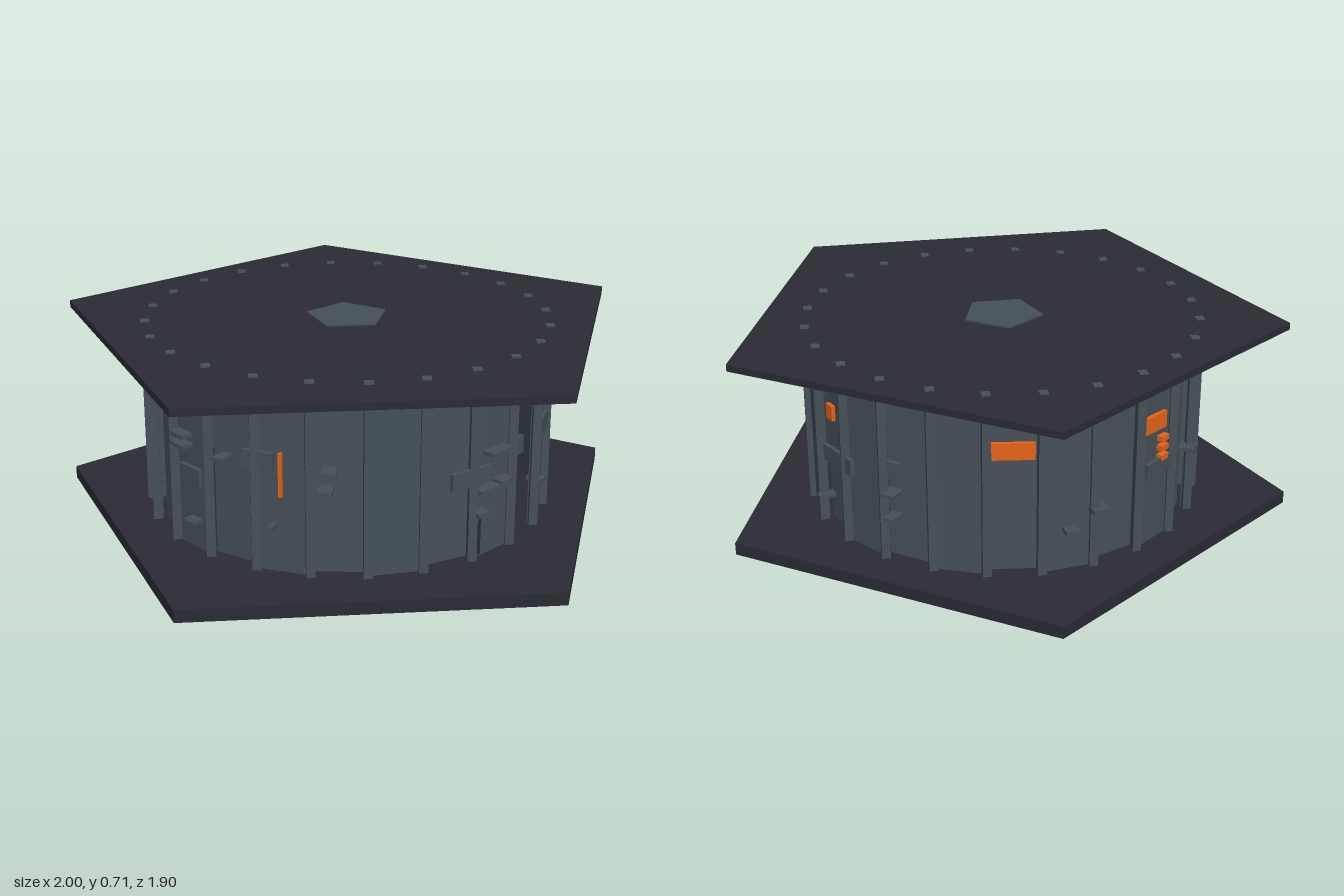
import * as THREE from 'three';

const slab = new THREE.MeshStandardMaterial({ color: 0x2b2b35 });
slab.name = 'dark slab';
const wall = new THREE.MeshStandardMaterial({ color: 0x455158 });
wall.name = 'slate wall';
const accent = new THREE.MeshStandardMaterial({ color: 0xe8641a });
accent.name = 'orange sign';

const CZ = 0.083, R = 0.703, N = 24;
const FLOOR = 0.045, CEIL = 0.68;
const rad = THREE.MathUtils.degToRad;

export function createModel() {
  const model = new THREE.Group();
  model.name = 'pentagonPavilion';

  // Five-sided plate with one corner pointing to the back
  function pentagon(name, mat, radius, y0, y1, z) {
    const geo = new THREE.CylinderGeometry(radius, radius, y1 - y0, 5, 1).toNonIndexed();
    geo.rotateY(Math.PI);
    geo.computeVertexNormals();
    const m = new THREE.Mesh(geo, mat);
    m.name = name;
    m.position.set(0, (y0 + y1) / 2, z);
    model.add(m);
  }

  // Box on the ring: w along the wall, d outward, angle from +x toward +z
  function ringBox(name, mat, deg, radius, y, w, h, d, turn = true) {
    const m = new THREE.Mesh(new THREE.BoxGeometry(w, h, d), mat);
    const a = rad(deg);
    m.name = name;
    m.position.set(Math.cos(a) * radius, y, CZ + Math.sin(a) * radius);
    if (turn) m.rotation.y = Math.PI / 2 - a;
    model.add(m);
  }

  pentagon('base', slab, 1.0515, 0, FLOOR, 0.1);
  pentagon('roof', slab, 1.03, CEIL, 0.705, 0.12);
  pentagon('roofCap', wall, 0.147, 0.7, 0.711, CZ);

  // Posts and the wall panels between them, alternately recessed
  const step = 360 / N, h = CEIL - FLOOR, mid = (CEIL + FLOOR) / 2;
  for (let i = 0; i < N; i++) {
    ringBox('post', wall, i * step, R, (FLOOR + 0.71) / 2, 0.03, 0.71 - FLOOR, 0.03, false);
    if (i === 0) continue; // open doorway on the side
    const half = i === 2;  // partly open bay
    const recess = i % 2 ? 0.685 : 0.655;
    ringBox('wallPanel', wall, (i + (half ? 0.75 : 0.5)) * step, recess, mid,
      half ? 0.09 : 0.185, h, 0.015);
  }

  // Flat boards fixed to the wall: [angle, height, width, tall]
  const boards = [
    [142, 0.31, 0.1, 0.06], [119, 0.43, 0.11, 0.06], [61, 0.34, 0.16, 0.06],
    [24, 0.39, 0.11, 0.06], [42, 0.39, 0.04, 0.06], [-27, 0.34, 0.17, 0.06],
    [-49, 0.39, 0.05, 0.06], [232, 0.33, 0.14, 0.06], [200, 0.4, 0.06, 0.06],
  ];
  for (const [a, y, w, t] of boards) ringBox('wallBoard', wall, a, 0.705, y, w, t, 0.015);

  // Small ledges sticking out: [angle, height, width]
  const ledges = [
    [145, 0.41, 0.07], [145, 0.445, 0.07], [130, 0.41, 0.04], [100, 0.41, 0.05],
    [101, 0.345, 0.05], [141, 0.15, 0.05], [115, 0.21, 0.02], [55, 0.29, 0.12],
    [52, 0.41, 0.1], [50, 0.3, 0.06], [29, 0.21, 0.03], [58, 0.21, 0.05],
    [-18, 0.155, 0.03], [-48, 0.3, 0.05], [-48, 0.21, 0.04], [254, 0.26, 0.06],
    [262, 0.2, 0.05], [212, 0.3, 0.06],
  ];
  for (const [a, y, w] of ledges) ringBox('ledge', wall, a, 0.705, y, w, 0.014, 0.06);

  // Tall dark slots at the front
  for (const a of [60.5, 58]) ringBox('slot', slab, a, 0.7, 0.135, 0.012, 0.15, 0.02);

  // Orange signs and lamps at the back
  ringBox('sign', accent, 278, 0.69, 0.5, 0.15, 0.06, 0.014);
  ringBox('sign', accent, 235, 0.7, 0.5, 0.14, 0.06, 0.014);
  ringBox('sideSign', accent, 337, 0.7, 0.5, 0.04, 0.055, 0.014);
  ringBox('verticalSign', accent, 113, 0.69, 0.385, 0.012, 0.15, 0.03);
  for (let i = 0; i < 3; i++) ringBox('lampStack', accent, 230, 0.7, 0.36 + i * 0.035, 0.04, 0.02, 0.03);

  return model;
}
